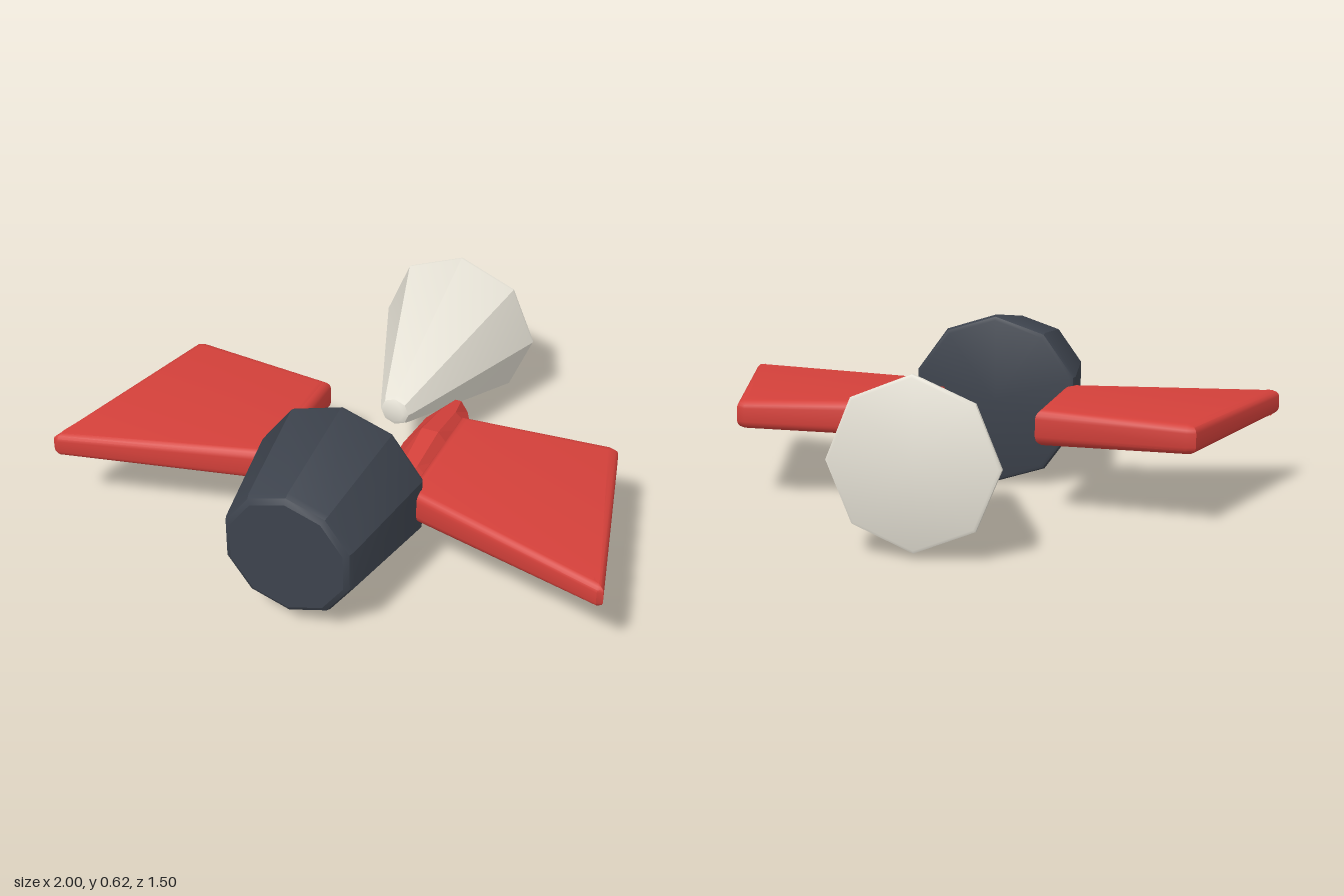
import * as THREE from 'three';
import { toCreasedNormals } from 'three/addons/utils/BufferGeometryUtils.js';

const MID = 0.31; // height of the common axis

function add(group, name, geometry, color) {
  const mesh = new THREE.Mesh(geometry, new THREE.MeshStandardMaterial({ color }));
  mesh.name = name;
  mesh.position.y = MID;
  group.add(mesh);
  return mesh;
}

// Many-sided solid along z from [radius, z] pairs, a corner pointing straight down
function facetedSolid(profile, sides) {
  const points = profile.map(([r, z]) => new THREE.Vector2(r, z));
  const geometry = new THREE.LatheGeometry(points, sides).rotateX(Math.PI / 2);
  return toCreasedNormals(geometry, 0.55);
}

// Swept plate with rounded edges, thinning toward the tip
function wingGeometry(side) {
  const plan = [[0.25, -0.13], [0.78, -0.19], [0.81, -0.18], [1, 0.525], [0.98, 0.535], [0.25, 0.345]];
  const shape = new THREE.Shape(plan.map(([x, z]) => new THREE.Vector2(side * x, z)));
  const bevel = 0.035, depth = 0.06;
  const geometry = new THREE.ExtrudeGeometry(shape, {
    depth, bevelThickness: bevel, bevelSize: bevel, bevelOffset: -bevel, bevelSegments: 4,
  });
  geometry.translate(0, 0, -depth / 2).rotateX(Math.PI / 2);
  const p = geometry.attributes.position;
  for (let i = 0; i < p.count; i++) {
    const t = (Math.abs(p.getX(i)) - 0.25) / 0.75;
    p.setY(i, p.getY(i) * (1 - 0.3 * t));
  }
  return toCreasedNormals(geometry, 0.6);
}

// Angular shard lofted from hexagonal sections: [z, half width, half height]
function shardGeometry() {
  const sections = [[-0.26, 0.036, 0.04], [-0.17, 0.085, 0.056], [0, 0.1, 0.085],
    [0.17, 0.085, 0.056], [0.26, 0.036, 0.04]];
  const hexagon = [[1, 0], [0.3, 1], [-0.3, 1], [-1, 0], [-0.3, -1], [0.3, -1]];
  const n = hexagon.length, last = (sections.length - 1) * n;
  const positions = [], index = [];
  for (const [z, w, h] of sections) {
    for (const [x, y] of hexagon) positions.push(x * w, y * h, z);
  }
  for (let s = 0; s < last; s += n) {
    for (let i = 0; i < n; i++) {
      const a = s + i, b = s + (i + 1) % n;
      index.push(a, b, b + n, a, b + n, a + n);
    }
  }
  for (let i = 1; i < n - 1; i++) {
    index.push(0, i + 1, i, last, last + i, last + i + 1);
  }
  const geometry = new THREE.BufferGeometry();
  geometry.setAttribute('position', new THREE.Float32BufferAttribute(positions, 3));
  geometry.setIndex(index);
  return toCreasedNormals(geometry, 0.05);
}

export function createModel() {
  const model = new THREE.Group();
  model.name = 'model';
  const red = 0xd3403a;

  // Dark ten-sided nose, narrowing to the front
  add(model, 'nose', facetedSolid([[0, 0.3], [0.29, 0.3], [0.303, 0.305], [0.309, 0.32],
    [0.24, 0.72], [0.232, 0.738], [0.213, 0.75], [0, 0.75]], 10), 0x3d434d);

  // Pale eight-sided tail cone, widening to the back
  add(model, 'tailCone', facetedSolid([[0, -0.75], [0.28, -0.75], [0.29, -0.745], [0.291, -0.735],
    [0.062, -0.145], [0.053, -0.128], [0.035, -0.12], [0, -0.12]], 8), 0xe8e4d8);

  // Pair of wings
  add(model, 'leftWing', wingGeometry(1), red);
  add(model, 'rightWing', wingGeometry(-1), red);

  // Shard at the root of the left wing
  const shard = add(model, 'wingRootShard', shardGeometry(), red);
  shard.position.set(0.2, MID, 0.03);

  return model;
}
